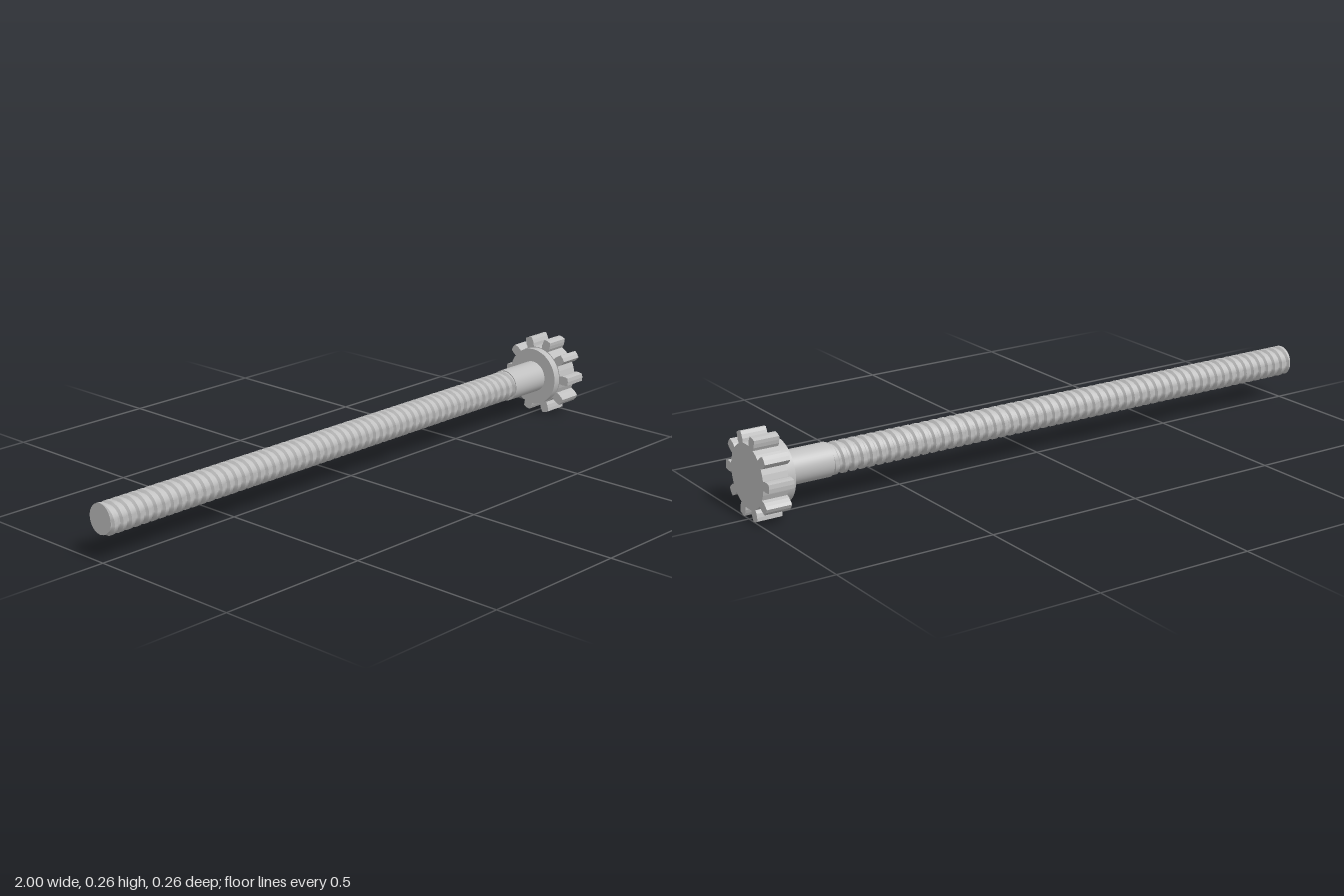
import * as THREE from 'three';
import { toCreasedNormals } from 'three/addons/utils/BufferGeometryUtils.js';

const AXIS_Y = 0.129;

// Trapezoidal thread: [fraction of pitch, radius]
const PITCH = 0.031;
const CREST = 0.049, ROOT = 0.0415;
const PROFILE = [[0, CREST], [0.4, CREST], [0.58, ROOT], [0.82, ROOT], [1, CREST]];

function threadRadius(turns) {
  const u = turns - Math.floor(turns);
  for (let k = 1; k < PROFILE.length; k++) {
    const [u0, r0] = PROFILE[k - 1], [u1, r1] = PROFILE[k];
    if (u <= u1) return r0 + (r1 - r0) * (u - u0) / (u1 - u0);
  }
  return CREST;
}

// Right-hand helical surface along x with closed ends
function threadGeometry(x0, x1, sides) {
  const turns = Math.ceil((x1 - x0) / PITCH);
  const rows = [];
  for (let t = -1; t <= turns; t++) {
    for (let k = 0; k < PROFILE.length - 1; k++) rows.push(t + PROFILE[k][0]);
  }
  const position = [], index = [];
  const addRow = (place) => {
    for (let j = 0; j <= sides; j++) {
      const f = j / sides, a = f * Math.PI * 2;
      const [x, r] = place(f);
      position.push(x, r * Math.cos(a), r * Math.sin(a));
    }
  };
  addRow(() => [x0, 0]);
  for (const row of rows) {
    addRow((f) => {
      const x = Math.min(x1, Math.max(x0, x0 + PITCH * (row + f)));
      return [x, threadRadius((x - x0) / PITCH - f)];
    });
  }
  addRow(() => [x1, 0]);
  const w = sides + 1;
  for (let i = 0; i < rows.length + 1; i++) {
    for (let j = 0; j < sides; j++) {
      const a = i * w + j, b = a + w;
      index.push(a, a + 1, b, a + 1, b + 1, b);
    }
  }
  const geometry = new THREE.BufferGeometry();
  geometry.setAttribute('position', new THREE.Float32BufferAttribute(position, 3));
  geometry.setIndex(index);
  return toCreasedNormals(geometry, 0.4);
}

function barrel(radius, x0, x1) {
  const geometry = new THREE.CylinderGeometry(radius, radius, x1 - x0, 48);
  return geometry.rotateZ(-Math.PI / 2).translate((x0 + x1) / 2, 0, 0);
}

// Ten-tooth pinion
function gearGeometry(x0, x1) {
  const tooth = [[0.097, -0.0135], [0.101, -0.0142], [0.108, -0.0157], [0.12, -0.0148], [0.1305, -0.0125],
    [0.132, 0], [0.1305, 0.0125], [0.12, 0.0148], [0.108, 0.0157], [0.101, 0.0142], [0.097, 0.0135]];
  const points = [];
  for (let i = 0; i < 10; i++) {
    const a = i * Math.PI / 5, c = Math.cos(a), s = Math.sin(a);
    for (const [r, t] of tooth) points.push(new THREE.Vector2(r * c - t * s, r * s + t * c));
    // root between teeth
    const m = a + Math.PI / 10;
    points.push(new THREE.Vector2(0.0975 * Math.cos(m), 0.0975 * Math.sin(m)));
  }
  const geometry = new THREE.ExtrudeGeometry(new THREE.Shape(points), { depth: x1 - x0, bevelEnabled: false });
  return geometry.rotateY(Math.PI / 2).translate(x0, 0, 0);
}

export function createModel() {
  const steel = new THREE.MeshStandardMaterial({ color: 0xbfbfbf });
  steel.name = 'steelGrey';

  const model = new THREE.Group();
  model.name = 'gearedScrew';
  const add = (name, geometry) => {
    const mesh = new THREE.Mesh(geometry, steel);
    mesh.name = name;
    mesh.position.y = AXIS_Y;
    model.add(mesh);
  };

  add('threadedRod', threadGeometry(-1, 0.75, 32));
  add('plainShank', barrel(0.052, 0.745, 0.9));
  add('collar', barrel(0.095, 0.895, 0.925));
  add('gear', gearGeometry(0.92, 1));
  return model;
}
